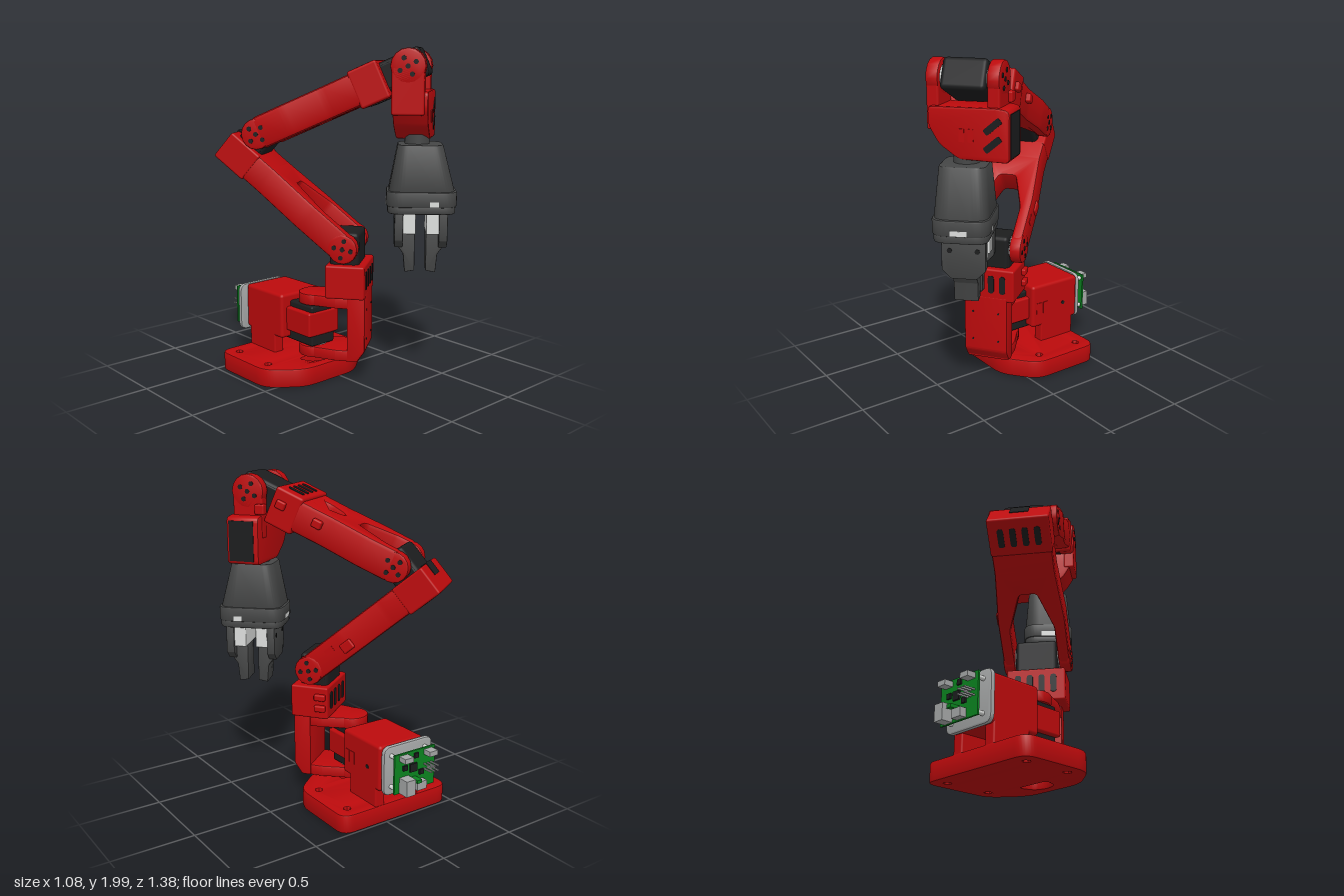
import * as THREE from 'three';
import { toCreasedNormals } from 'three/addons/utils/BufferGeometryUtils.js';
import { RoundedBoxGeometry } from 'three/addons/geometries/RoundedBoxGeometry.js';

const mat = (name, color) => Object.assign(new THREE.MeshStandardMaterial({ color }), { name });
const red = mat('red plastic', 0xbc0a0c), black = mat('servo black', 0x1c1d1e), dark = mat('dark grey', 0x454646);
const grey = mat('light grey', 0xa6a8a8), white = mat('white', 0xdcdedc), green = mat('board green', 0x0b8420);

// Closed outline with softened corners
function outline(pts, r = 0, Type = THREE.Shape) {
  const s = new Type(), v = pts.map(p => new THREE.Vector2(...p)), n = v.length;
  v.forEach((p, i) => {
    const toward = q => p.clone().add(q.clone().sub(p).setLength(Math.min(r, q.distanceTo(p) * 0.49)));
    const a = toward(v[(i + n - 1) % n]), b = toward(v[(i + 1) % n]);
    if (i) s.lineTo(a.x, a.y); else s.moveTo(a.x, a.y);
    if (r) s.quadraticCurveTo(p.x, p.y, b.x, b.y);
  });
  s.closePath();
  return s;
}
const rect = (w, h, r) => outline([[-w / 2, -h / 2], [w / 2, -h / 2], [w / 2, h / 2], [-w / 2, h / 2]], r);
const round = r => new THREE.Shape().absarc(0, 0, r, 0, Math.PI * 2);

function add(parent, name, geo, m, x = 0, y = 0, z = 0) {
  const mesh = new THREE.Mesh(geo, m);
  mesh.name = name;
  mesh.position.set(x, y, z);
  parent.add(mesh);
  return mesh;
}
const box = (p, name, m, w, h, d, x, y, z, r = 0.01) =>
  add(p, name, r ? new RoundedBoxGeometry(w, h, d, 2, r) : new THREE.BoxGeometry(w, h, d), m, x, y, z);

// Centred, bevelled extrusion; dir: front (x,y), side (z,y) or plan (x,z)
function extrude(shape, depth, dir = 'front', b = 0.01) {
  const g = new THREE.ExtrudeGeometry(shape, { depth: depth - 2 * b, bevelEnabled: b > 0, bevelSize: b, bevelThickness: b, bevelOffset: -b, bevelSegments: 2, curveSegments: 8 });
  g.translate(0, 0, b - depth / 2);
  if (dir === 'side') g.rotateY(-Math.PI / 2);
  if (dir === 'plan') g.rotateX(Math.PI / 2);
  return toCreasedNormals(g, 0.6);
}
function disc(p, name, m, r, h, axis, x, y, z, sides = 32) {
  const g = new THREE.CylinderGeometry(r, r, h, sides);
  if (axis === 'x') g.rotateZ(Math.PI / 2);
  if (axis === 'z') g.rotateX(Math.PI / 2);
  return add(p, name, g, m, x, y, z);
}
// Thin dark slots in a row along x
function slots(p, y, z, len, dir) {
  for (let i = 0; i < 4; i++)
    add(p, 'ventSlot', extrude(rect(0.036, len, 0.018), 0.006, dir, 0), black, (i - 1.5) * 0.07, y, z);
}
// Servo with its output axis on the origin, body running along -z
function servo(p) {
  box(p, 'servoBody', black, 0.25, 0.175, 0.325, 0, 0, -0.077, 0.025);
  box(p, 'servoSeam', black, 0.256, 0.14, 0.26, 0, 0, -0.077, 0.01);
  for (const s of [-1, 1]) disc(p, 'servoHorn', white, 0.07, 0.016, 'x', s * 0.131, 0, 0);
}
// Round joint cheeks with screw holes, centred on the origin
function cheeks(p, r) {
  for (const s of [-1, 1]) {
    add(p, 'jointCheek', extrude(round(r), 0.07, 'side'), red, s * 0.168, 0, 0);
    for (let i = 0; i < 5; i++) {
      const a = i * Math.PI / 2 + 0.5, d = i < 4 ? 0.05 : 0;
      disc(p, 'screwHole', black, 0.014, 0.006, 'x', s * 0.2025, d * Math.sin(a), d * Math.cos(a), 16);
    }
  }
}
const group = (parent, name, y, z, tilt = 0) => {
  const g = new THREE.Group();
  g.name = name;
  g.position.set(0, y, z);
  g.rotation.x = -tilt;
  parent.add(g);
  return g;
};

function buildBase(root) {
  const base = group(root, 'base', 0, 0), cx = -0.08;
  const plate = outline([[-0.475, -0.495], [0.31, -0.495], [0.31, -0.04], [0.115, 0.115], [-0.28, 0.115], [-0.475, -0.04]], 0.08);
  // Hexagonal bolt holes and a cable opening
  for (const x of [-0.39, 0.22]) for (const z of [-0.405, -0.11])
    plate.holes.push(outline([0, 1, 2, 3, 4, 5].map(i => [x + 0.021 * Math.cos(i * Math.PI / 3), z + 0.021 * Math.sin(i * Math.PI / 3)]), 0, THREE.Path));
  plate.holes.push(outline([[-0.19, -0.06], [0.02, -0.06], [-0.01, 0.03], [-0.085, 0.055], [-0.16, 0.03]], 0.03, THREE.Path));
  add(base, 'basePlate', extrude(plate, 0.115, 'plan'), red, 0, 0.0575, 0);
  // Pillar walls and motor housing
  for (const s of [-1, 1]) box(base, 'pillarWall', red, 0.07, 0.2, 0.255, cx + s * 0.125, 0.2, -0.363);
  box(base, 'motorHousing', red, 0.32, 0.28, 0.36, cx, 0.36, -0.345, 0.02);
  box(base, 'motorBand', red, 0.24, 0.15, 0.31, cx, 0.345, -0.105, 0.012);
  box(base, 'baseServo', black, 0.18, 0.25, 0.3, cx, 0.33, -0.11, 0.012);
  for (const y of [0.2, 0.452]) disc(base, 'panHorn', white, 0.07, 0.02, 'y', -0.07, y, -0.04);
  for (const z of [-0.215, -0.265]) box(base, 'housingWindow', red, 0.006, 0.075, 0.035, cx + 0.161, 0.345, z, 0);
  disc(base, 'housingScrew', black, 0.012, 0.006, 'x', cx + 0.161, 0.34, -0.41, 12);
  // Controller mount and circuit board
  add(base, 'boardMount', extrude(rect(0.355, 0.3, 0.05), 0.03), grey, -0.107, 0.35, -0.54);
  for (const x of [-0.225, 0.02]) for (const y of [0.255, 0.445]) disc(base, 'standoff', white, 0.013, 0.055, 'z', x, y, -0.578, 12);
  box(base, 'circuitBoard', green, 0.295, 0.24, 0.012, -0.105, 0.35, -0.61, 0);
  box(base, 'powerJack', grey, 0.065, 0.095, 0.07, -0.025, 0.28, -0.65, 0);
  box(base, 'usbPort', grey, 0.07, 0.05, 0.04, -0.13, 0.26, -0.636, 0);
  box(base, 'terminal', green, 0.035, 0.02, 0.06, -0.095, 0.3, -0.645, 0);
  for (const x of [-0.2, -0.02]) box(base, 'servoPlug', grey, 0.06, 0.03, 0.055, x, 0.445, -0.643, 0);
  for (const [x, y, s] of [[-0.09, 0.37, 0.05], [-0.15, 0.33, 0.03], [-0.03, 0.38, 0.03], [-0.11, 0.44, 0.03]])
    box(base, 'chip', black, s, s, 0.012, x, y, -0.621, 0);
  for (let i = 0; i < 6; i++) box(base, 'pin', grey, 0.008, 0.008, 0.07, -0.225 + (i % 3) * 0.025, 0.34 + 0.03 * Math.floor(i / 3), -0.65, 0);
}

// Turning yoke with the shoulder servo
function buildYoke(arm) {
  const g = group(arm, 'turningYoke', 0, 0);
  const front = outline([[0.22, 0.13], [0.28, 0.13], [0.33, 0.2], [0.33, 0.56], [0.22, 0.56]], 0.015);
  add(g, 'yokePlate', extrude(front, 0.27, 'side'), red);
  const tab = outline([[-0.1, 0], [0.1, 0], [0.13, 0.15], [0.13, 0.29], [-0.13, 0.29], [-0.13, 0.15]], 0.01);
  for (const y of [0.165, 0.492]) {
    add(g, 'yokeTab', extrude(tab, 0.07, 'plan'), red, 0, y, 0);
    add(g, 'yokeTabEnd', extrude(round(0.105), 0.07, 'plan'), red, 0, y, 0);
  }
  for (const x of [-0.08, 0.08]) for (const y of [0.27, 0.45]) disc(g, 'yokeScrew', black, 0.006, 0.006, 'z', x, y, 0.33, 10);
  box(g, 'shoulderHolder', red, 0.35, 0.2, 0.235, 0, 0.63, 0.212, 0.012);
  slots(g, 0.635, 0.331, 0.11, 'front');
  slots(g, 0.635, 0.093, 0.11, 'front');
  for (const y of [0.6, 0.67]) box(g, 'cableClip', red, 0.03, 0.04, 0.07, 0.185, y, 0.14);
  servo(group(g, 'shoulderServo', 0.835, 0.2, Math.PI / 2));
}

function buildLowerArm(arm) {
  const g = group(arm, 'lowerArm', 0.837, 0.205, 2.447);
  cheeks(g, 0.088);
  const s = outline([[-0.2, 0], [-0.13, 0], [-0.13, 0.24], [-0.05, 0.46], [0.05, 0.46], [0.13, 0.24], [0.13, 0],
    [0.2, 0], [0.2, 0.3], [0.175, 0.6], [0.175, 0.93], [-0.175, 0.93], [-0.175, 0.6], [-0.2, 0.3]], 0.02);
  add(g, 'lowerArmBody', extrude(s, 0.17, 'plan', 0.018), red);
  box(g, 'elbowHolder', red, 0.355, 0.18, 0.22, 0, 0.004, 0.825, 0.012);
  // Notch showing the servo through the end wall
  box(g, 'elbowNotch', black, 0.11, 0.085, 0.006, 0, -0.045, 0.935, 0);
  box(g, 'elbowNotchTop', black, 0.11, 0.006, 0.055, 0, -0.087, 0.9105, 0);
  slots(g, 0.094, 0.82, 0.11, 'plan');
  box(g, 'cableClip', red, 0.04, 0.06, 0.08, 0.19, 0.02, 0.3);
  box(g, 'sideWindow', red, 0.006, 0.035, 0.06, 0.199, -0.02, 0.19, 0);
  servo(group(g, 'elbowServo', -0.165, 0.812, -Math.PI / 2));
}

function buildForearm(arm) {
  const g = group(arm, 'forearm', 1.495, -0.306, 0.418);
  cheeks(g, 0.09);
  const s = outline([[-0.203, 0], [-0.133, 0], [-0.133, 0.1], [-0.05, 0.3], [0.05, 0.3], [0.133, 0.1], [0.133, 0],
    [0.203, 0], [0.21, 0.2], [0.19, 0.45], [0.2, 0.68], [-0.2, 0.68], [-0.19, 0.45], [-0.21, 0.2]], 0.03);
  s.holes.push(outline([[-0.025, 0.43], [0.025, 0.43], [0.065, 0.53], [0.065, 0.62], [-0.065, 0.62], [-0.065, 0.53]], 0.02, THREE.Path));
  add(g, 'forearmBody', extrude(s, 0.19, 'plan', 0.025), red);
  box(g, 'servoConnector', black, 0.11, 0.12, 0.12, 0, 0, 0.575, 0.01);
  box(g, 'wristHolder', red, 0.4, 0.225, 0.18, 0, -0.003, 0.715, 0.015);
  slots(g, 0.111, 0.715, 0.1, 'plan');
  slots(g, -0.117, 0.715, 0.1, 'plan');
  for (const z of [0.5, 0.74]) box(g, 'cableClip', red, 0.04, 0.05, 0.06, 0.2, 0.02, z);
  servo(group(g, 'wristServo', 0, 0.958));
}

function buildWrist(arm) {
  const g = group(arm, 'wrist', 1.885, 0.57);
  cheeks(g, 0.1);
  for (const s of [-1, 1]) box(g, 'wristArm', red, 0.07, 0.27, 0.185, s * 0.168, -0.135, 0, 0.012);
  const s = outline([[-0.19, -0.14], [-0.19, -0.24], [-0.13, -0.34], [-0.02, -0.415], [0.262, -0.42], [0.262, -0.145], [0.2, -0.135]], 0.03);
  add(g, 'rollHolder', extrude(s, 0.2), red, 0, 0, 0.012);
  box(g, 'rollServoBack', black, 0.008, 0.235, 0.155, 0.261, -0.282, 0.019, 0);
  for (const y of [-0.23, -0.325]) {
    const slit = add(g, 'angledSlot', extrude(rect(0.11, 0.036, 0.01), 0.006, 'front', 0), black, 0.17, y, 0.113);
    slit.rotation.z = 0.7;
  }
  for (const x of [0, 0.05]) add(g, 'frontWindow', extrude(rect(0.03, 0.07, 0.005), 0.008, 'front', 0), red, x, -0.285, 0.113);
  box(g, 'cableClip', red, 0.05, 0.06, 0.06, 0.2, -0.1, -0.08);
}

function buildGripper(arm) {
  disc(arm, 'rollNeck', dark, 0.072, 0.09, 'y', 0, 1.455, 0.605);
  const g = group(arm, 'gripper', 0, 0.632);
  g.rotation.y = 0.157;
  // Tapered shell
  const shell = extrude(rect(0.3, 0.385, 0.09), 0.28, 'plan', 0.008), p = shell.attributes.position;
  for (let i = 0; i < p.count; i++) {
    const k = THREE.MathUtils.clamp(p.getY(i) / 0.28 + 0.5, 0, 1);
    p.setX(i, p.getX(i) * (1 - 0.15 * k));
    p.setZ(i, p.getZ(i) * (1 - 0.33 * k) - 0.01 * k);
  }
  add(g, 'gripperShell', toCreasedNormals(shell, 0.6), dark, 0, 1.305, 0);
  add(g, 'gripperRim', extrude(rect(0.315, 0.405, 0.09), 0.09, 'plan'), dark, 0, 1.135, 0);
  add(g, 'gripperFloor', extrude(rect(0.3, 0.39, 0.08), 0.05, 'plan'), dark, 0, 1.075, 0);
  for (const s of [-1, 1]) {
    box(g, 'rimWindow', white, 0.09, 0.03, 0.006, 0, 1.11, s * 0.201, 0);
    box(g, 'rimSideWindow', white, 0.006, 0.03, 0.05, s * 0.156, 1.11, 0.07, 0);
    // Sliding jaw: white carriage, dark cover and finger
    box(g, 'jawCarriage', white, 0.22, 0.13, 0.075, 0.015, 0.99, s * 0.068, 0.006);
    const cover = outline([[-0.105, 1.06], [0.135, 1.06], [0.135, 0.89], [0.085, 0.84], [-0.055, 0.84], [-0.105, 0.89]], 0.008);
    add(g, 'jawCover', extrude(cover, 0.05, 'front', 0.006), dark, 0, 0, s * 0.128);
    const finger = outline([[0.032, 0.7], [0.09, 0.69], [0.1, 0.8], [0.15, 0.87], [0.15, 0.93], [0.032, 0.93]].map(([z, y]) => [s * z, y]), 0.006);
    add(g, 'finger', extrude(finger, 0.135, 'side', 0.006), dark, 0.015, 0, 0);
    for (const x of [-0.06, 0.09]) disc(g, 'jawScrew', black, 0.014, 0.006, 'z', x, 1.0, s * 0.153, 12);
  }
}

export function createModel() {
  const root = new THREE.Group();
  root.name = 'robotArm';
  buildBase(root);
  // Everything above the base turns about the pan axis
  const arm = group(root, 'turningArm', 0, -0.04);
  arm.position.x = -0.07;
  arm.rotation.y = 0.628;
  [buildYoke, buildLowerArm, buildForearm, buildWrist, buildGripper].forEach(build => build(arm));
  return root;
}
